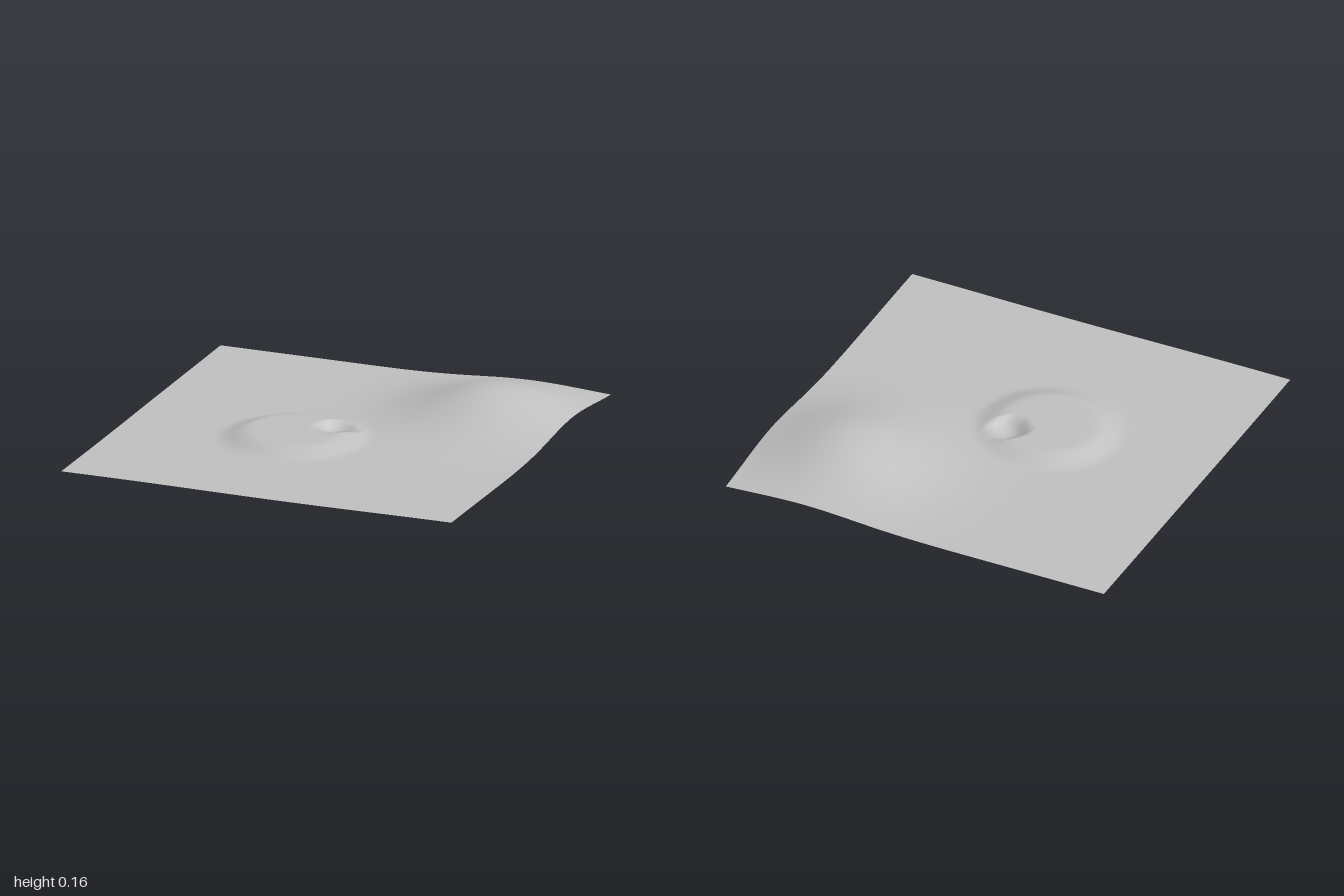
import * as THREE from 'three';

// Smooth falloff: 1 inside radius a, 0 outside radius b
const falloff = (r, a, b) => 1 - THREE.MathUtils.smoothstep(r, a, b);

// Ground height at a point
function heightAt(x, z) {
  const waves = 0.011 + 0.0015 * Math.sin(3.1 * x + 1.2) * Math.cos(2.7 * z) + 0.001 * Math.sin(4 * (x + z));
  const hill = 0.149 * Math.exp(-((x - 0.59) ** 2 + (z + 0.52) ** 2) / 0.152);
  const plateau = 0.04 * falloff(Math.hypot(x + 0.16, z - 0.12), 0.22, 0.37);
  const r = Math.hypot(x, z);
  const y = waves + hill + plateau;
  // Small steep-sided pit on the edge of the plateau
  const pit = r < 0.085 ? 0.022 + 0.033 * (1 - (r / 0.085) ** 2) : 0;
  return Math.max(0, y - pit);
}

export function createModel() {
  const group = new THREE.Group();
  group.name = 'terrain';
  const stone = new THREE.MeshStandardMaterial({ color: 0xc0c0c0, side: THREE.DoubleSide });
  stone.name = 'grey ground';

  // Open ground sheet shaped by the height rule
  const sheet = new THREE.PlaneGeometry(2, 2, 80, 80).rotateX(-Math.PI / 2);
  const p = sheet.attributes.position;
  for (let i = 0; i < p.count; i++) p.setY(i, heightAt(p.getX(i), p.getZ(i)));
  sheet.computeVertexNormals();

  const ground = new THREE.Mesh(sheet, stone);
  ground.name = 'ground';
  group.add(ground);
  return group;
}
